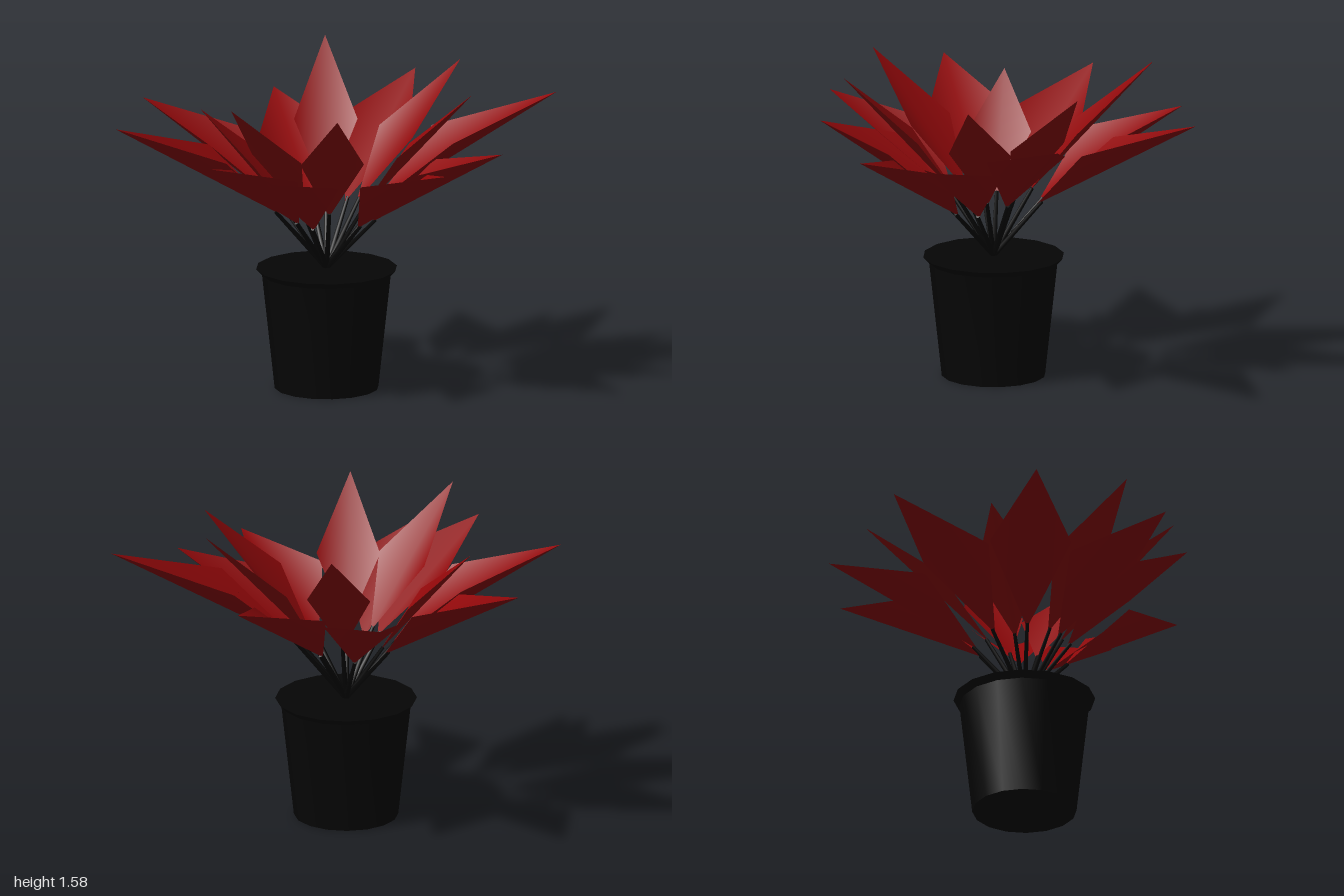
import * as THREE from 'three';
import { toCreasedNormals } from 'three/addons/utils/BufferGeometryUtils.js';

const POT_Z = 0.07, SOIL_Y = 0.6;

// Leaf tips
const OUTER = [
  [0.15, 1.36, -0.99], [-0.5, 1.28, -0.75], [1.0, 1.41, -0.515],
  [0.905, 1.24, 0.12], [0.74, 1.22, 0.55], [0.0, 1.22, 0.945],
  [-0.335, 1.29, 0.985], [-0.93, 1.35, 0.565], [-1.0, 1.33, -0.17],
];
const INNER = [
  [-0.22, 1.575, -0.68], [0.52, 1.55, -0.49], [0.72, 1.5, 0.01],
  [0.25, 1.51, 0.76], [-0.29, 1.53, 0.755], [-0.61, 1.38, 0.175],
];

// Kite-shaped blade, cupped along a straight midrib
function leafGeometry(base, tip, radial, halfWidth, lift) {
  const side = new THREE.Vector3(-radial.z, 0, radial.x);
  const mid = base.clone().lerp(tip, 0.38);
  mid.y += lift;
  const left = mid.clone().addScaledVector(side, halfWidth);
  const right = mid.clone().addScaledVector(side, -halfWidth);
  const geometry = new THREE.BufferGeometry().setFromPoints([base, left, tip, right]);
  geometry.setIndex([0, 1, 2, 0, 2, 3]);
  geometry.computeVertexNormals();
  return geometry;
}

// Thin tapered stalk between two points
function stemMesh(from, to, material) {
  const dir = to.clone().sub(from);
  const mesh = new THREE.Mesh(new THREE.CylinderGeometry(0.009, 0.014, dir.length(), 6), material);
  mesh.position.copy(from).addScaledVector(dir, 0.5);
  mesh.quaternion.setFromUnitVectors(new THREE.Vector3(0, 1, 0), dir.normalize());
  mesh.name = 'stem';
  return mesh;
}

export function createModel() {
  const model = new THREE.Group();
  model.name = 'pottedPlant';
  const black = new THREE.MeshStandardMaterial({ color: 0x050505 });
  black.name = 'black';
  const red = new THREE.MeshStandardMaterial({ color: 0x900709, side: THREE.DoubleSide });
  red.name = 'leafRed';

  // Tapered pot with a flared rim and flat soil
  const profile = [[0, 0], [0.255, 0], [0.317, 0.57], [0.346, 0.6], [0, 0.6]]
    .map(([r, y]) => new THREE.Vector2(r, y));
  const pot = new THREE.Mesh(toCreasedNormals(new THREE.LatheGeometry(profile, 16), 0.5), black);
  pot.position.z = POT_Z;
  pot.name = 'pot';
  model.add(pot);

  // Two rings of leaves, each on its own stem
  const root = new THREE.Vector3(0, SOIL_Y, POT_Z);
  const addLeaf = ([x, y, z], ring) => {
    const tip = new THREE.Vector3(x, y, z);
    const radial = new THREE.Vector3(x, 0, z - POT_Z).normalize();
    const base = root.clone().addScaledVector(radial, ring.baseRadius);
    base.y = ring.baseY + (y - ring.refY) * 0.3;
    const leaf = new THREE.Mesh(leafGeometry(base, tip, radial, ring.halfWidth, ring.lift), red);
    leaf.name = 'leaf';
    const group = new THREE.Group();
    group.name = ring.name;
    group.add(leaf, stemMesh(root, base.clone().lerp(tip, 0.03), black));
    model.add(group);
  };
  const outer = { name: 'outerLeaf', baseRadius: 0.23, baseY: 0.84, refY: 1.22, halfWidth: 0.2, lift: 0.14 };
  const inner = { name: 'innerLeaf', baseRadius: 0.17, baseY: 0.9, refY: 1.52, halfWidth: 0.155, lift: 0.08 };
  OUTER.forEach((t) => addLeaf(t, outer));
  INNER.forEach((t) => addLeaf(t, inner));
  return model;
}
